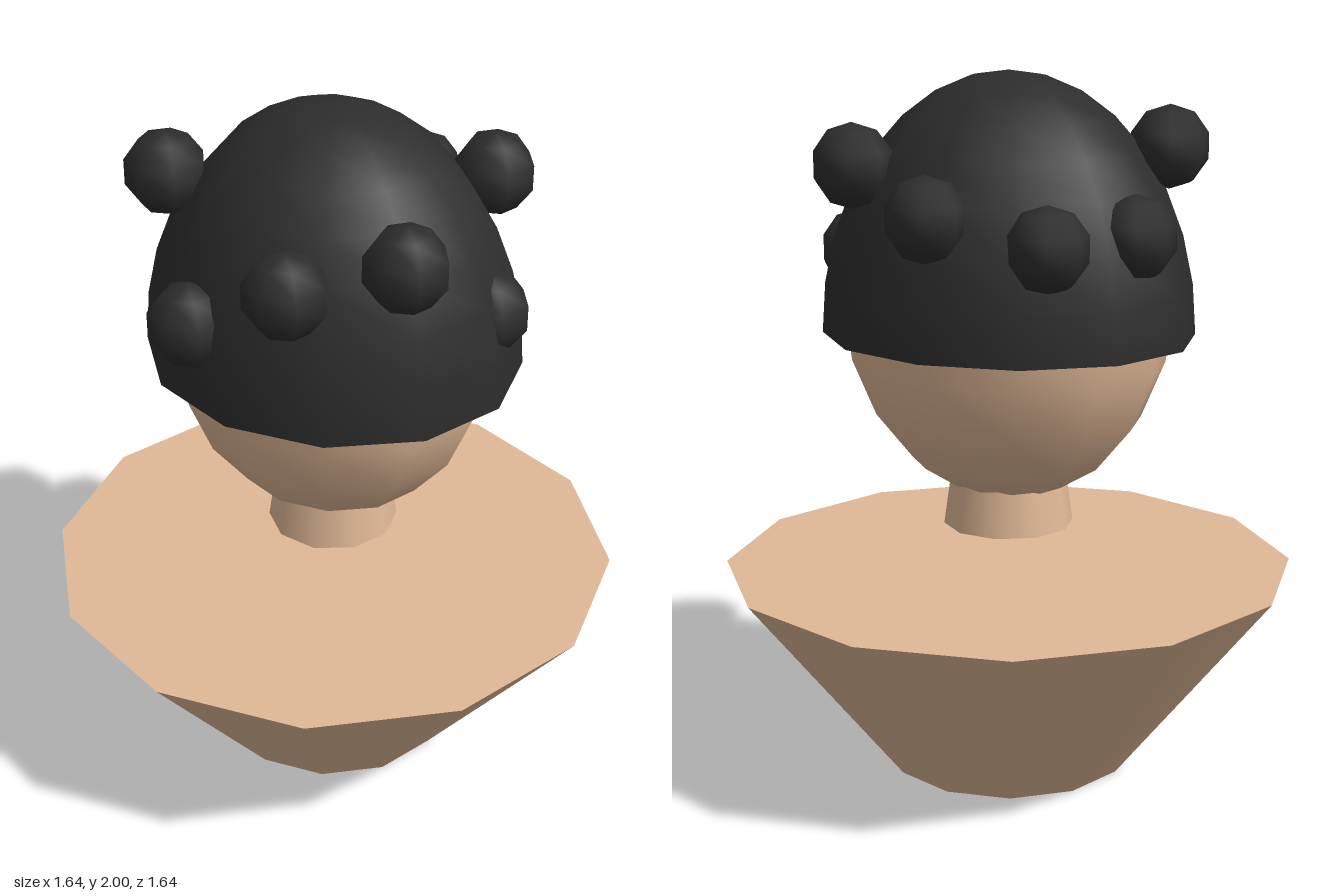
import * as THREE from 'three';

export function createModel() {
  const model = new THREE.Group();
  const skin = new THREE.MeshStandardMaterial({ color: 0xe0b896 });
  const black = new THREE.MeshStandardMaterial({ color: 0x2d2d2d, side: THREE.DoubleSide });
  skin.name = 'skin';
  black.name = 'black hair';

  function add(name, geometry, material, x, y, z) {
    const mesh = new THREE.Mesh(geometry, material);
    mesh.name = name;
    mesh.position.set(x, y, z);
    model.add(mesh);
    return mesh;
  }

  // Tapered bust, with the neck floating just above it
  add('shoulders', new THREE.CylinderGeometry(0.82, 0.355, 0.59, 12), skin, 0, 0.295, 0);
  add('neck', new THREE.CylinderGeometry(0.153, 0.187, 0.24, 10), skin, 0, 0.83, 0);

  // Egg-shaped head
  add('head', new THREE.SphereGeometry(1, 12, 10), skin, 0, 1.36, 0).scale.set(0.44, 0.57, 0.478);

  // Open half-shell of hair
  const shell = new THREE.SphereGeometry(1, 12, 8, 0, Math.PI * 2, 0, Math.PI / 2);
  add('hairCap', shell, black, 0, 1.265, 0).scale.set(0.49, 0.735, 0.54);

  // Ring of curls around the cap
  const curl = new THREE.SphereGeometry(0.117, 7, 5);
  const curls = [
    [0.444, 1.64, 0], [0.345, 1.755, 0.29], [0.095, 1.485, 0.436],
    [-0.228, 1.735, 0.385], [-0.425, 1.675, 0.155], [-0.423, 1.49, -0.16],
    [-0.222, 1.79, -0.388], [0.095, 1.58, -0.44], [0.34, 1.57, -0.305],
  ];
  curls.forEach(([x, y, z], i) => add('hairCurl' + (i + 1), curl, black, x, y, z));

  return model;
}
